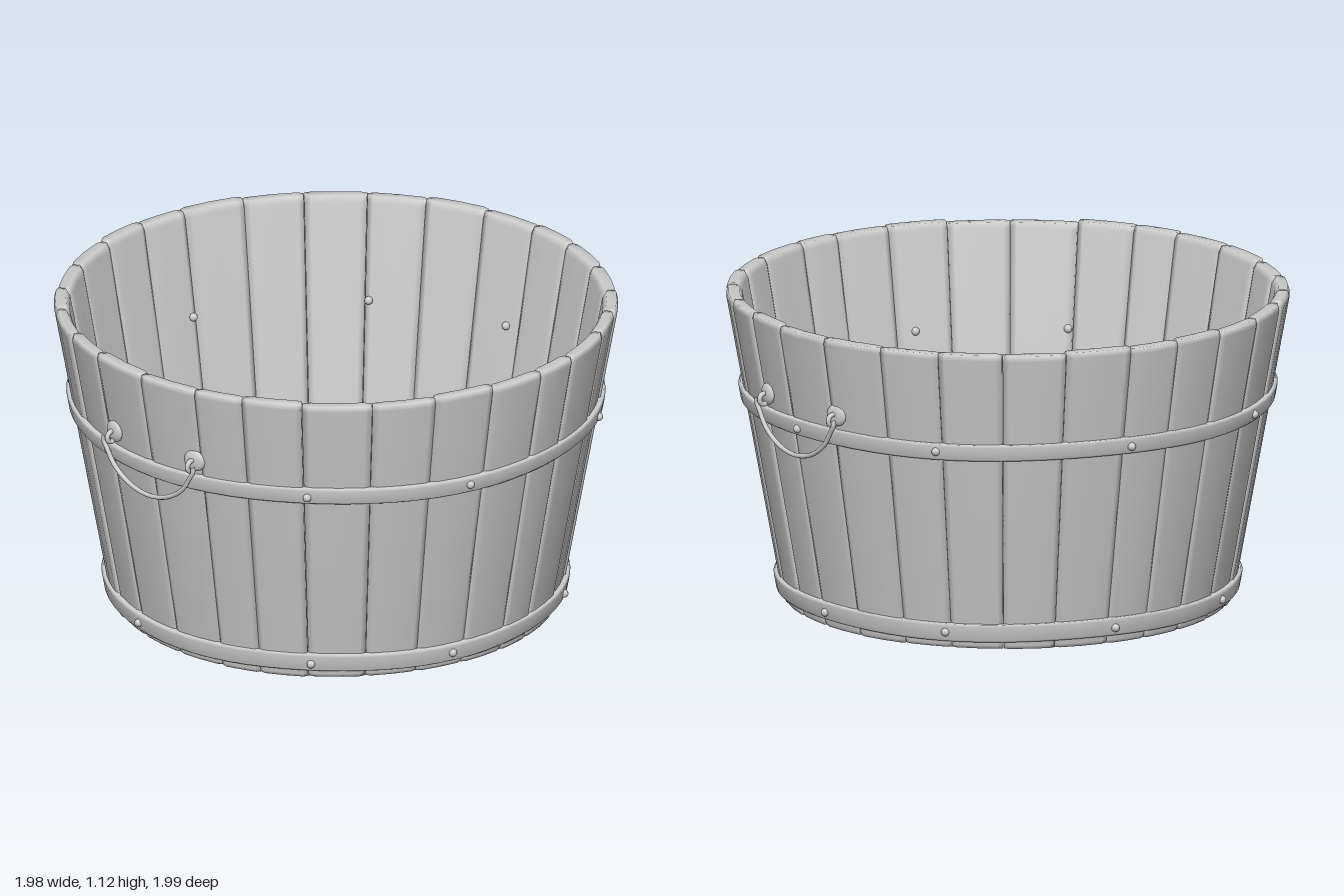
import * as THREE from 'three';

const steel = new THREE.MeshStandardMaterial({ color: 0xcccccc });
steel.name = 'pale grey';

let seed = 7;
const rand = () => (seed = (seed * 16807) % 2147483647) / 2147483647;
const rad = THREE.MathUtils.degToRad;

// outer wall radius at a given height
const wallR = (y) => 0.79 + 0.205 * (y / 1.13);

function add(parent, name, geometry) {
  const mesh = new THREE.Mesh(geometry, steel);
  mesh.name = name;
  parent.add(mesh);
  return mesh;
}

// one stave: a soft-edged board lofted from bottom to top between two angles
function staveGeometry(t0, t1, thick, offset, top) {
  const rows = [[0.01, 0.007], [0.024, 0], [0.55, 0], [top - 0.02, 0], [top, 0.009]];
  const cuts = [0, 0.1, 0.5, 0.9, 1];
  const n = cuts.length * 2;
  const pos = [];
  const idx = [];
  for (const [y, inset] of rows) {
    const ring = (u, r) => {
      const t = t0 + (t1 - t0) * u;
      pos.push(Math.sin(t) * r, y, Math.cos(t) * r);
    };
    const edge = (u) => (u === 0 || u === 1 ? 0.008 : 0);
    const R = wallR(y) + offset;
    cuts.forEach((u) => ring(u, R - inset - edge(u)));
    [...cuts].reverse().forEach((u) => ring(u, R - thick + inset + edge(u)));
  }
  const quad = (a, b, c, d) => idx.push(a, b, c, a, c, d);
  for (let j = 0; j < rows.length - 1; j++) {
    for (let i = 0; i < n; i++) {
      const k = (i + 1) % n;
      quad(j * n + i, j * n + k, (j + 1) * n + k, (j + 1) * n + i);
    }
  }
  const last = (rows.length - 1) * n;
  for (let i = 0; i < cuts.length - 1; i++) {
    quad(last + i, last + i + 1, last + n - 2 - i, last + n - 1 - i);
    quad(n - 1 - i, n - 2 - i, i + 1, i);
  }
  const g = new THREE.BufferGeometry();
  g.setAttribute('position', new THREE.Float32BufferAttribute(pos, 3));
  g.setIndex(idx);
  g.computeVertexNormals();
  return g;
}

// metal band following the slope of the wall
function hoopGeometry(y0, y1) {
  const p = (y, out) => new THREE.Vector2(wallR(y) + out, y);
  const g = new THREE.LatheGeometry([
    p(y0, -0.01), p(y0, 0.012), p(y0 + 0.008, 0.019), p(y1 - 0.008, 0.019),
    p(y1, 0.012), p(y1, -0.01),
  ], 72);
  // slight hand-made waviness
  const a = g.attributes.position;
  for (let i = 0; i < a.count; i++) {
    const t = Math.atan2(a.getX(i), a.getZ(i));
    a.setY(i, a.getY(i) + 0.003 * Math.sin(5 * t));
  }
  return g;
}

// floor board clipped to the round floor
function plankGeometry(x0, x1, R) {
  const pts = [];
  const steps = 8;
  for (let i = 0; i <= steps; i++) {
    const x = x0 + ((x1 - x0) * i) / steps;
    pts.push(new THREE.Vector2(x, -Math.sqrt(Math.max(0, R * R - x * x))));
  }
  for (let i = steps; i >= 0; i--) pts.push(new THREE.Vector2(pts[i].x, -pts[i].y + 0.0001));
  const g = new THREE.ExtrudeGeometry(new THREE.Shape(pts), {
    depth: 0.028, bevelThickness: 0.006, bevelSize: 0.008, bevelOffset: -0.008, bevelSegments: 2,
  });
  g.rotateX(-Math.PI / 2);
  g.translate(0, 0.056, 0);
  return g;
}

export function createModel() {
  const model = new THREE.Group();
  model.name = 'woodenTub';

  // staves, of slightly uneven width
  const staves = new THREE.Group();
  staves.name = 'staves';
  model.add(staves);
  const count = 28;
  const widths = Array.from({ length: count }, () => 0.8 + 0.4 * rand());
  const total = widths.reduce((s, w) => s + w, 0);
  let t = rad(1);
  widths.forEach((w) => {
    const span = (w / total) * Math.PI * 2;
    add(staves, 'stave', staveGeometry(t + 0.001, t + span - 0.001,
      0.052 + 0.008 * rand(), (rand() - 0.5) * 0.01, 1.122 + 0.01 * rand()));
    t += span;
  });

  // floor boards and the rim around them
  const floor = new THREE.Group();
  floor.name = 'floor';
  model.add(floor);
  const seams = [-0.742, -0.58, -0.4, -0.24, 0, 0.23, 0.38, 0.6, 0.742];
  for (let i = 0; i < seams.length - 1; i++) {
    add(floor, 'floorPlank', plankGeometry(seams[i], seams[i + 1], 0.745));
  }
  const rim = add(floor, 'floorRim', new THREE.TorusGeometry(0.742, 0.012, 8, 64));
  rim.rotation.x = Math.PI / 2;
  rim.position.y = 0.092;

  // hoops with rivets
  const rivetAngles = [-104, -152, 169, 126, 90, 31.5, -16.3, -52.5];
  for (const [name, y0, y1, through] of [
    ['lowerHoop', 0.04, 0.106, false], ['upperHoop', 0.73, 0.79, true],
  ]) {
    add(model, name, hoopGeometry(y0, y1));
    const y = (y0 + y1) / 2;
    for (const deg of rivetAngles) {
      const a = rad(deg);
      const place = (r) => {
        const m = add(model, 'rivet', new THREE.SphereGeometry(0.015, 12, 8));
        m.position.set(Math.sin(a) * r, y, Math.cos(a) * r);
      };
      place(wallR(y) + 0.02);
      if (through) place(wallR(y) - 0.06);
    }
  }

  // swinging wire handle on each side
  for (const side of [1, -1]) {
    const handle = new THREE.Group();
    handle.name = side > 0 ? 'leftHandle' : 'rightHandle';
    if (side < 0) handle.rotation.y = Math.PI;
    model.add(handle);
    for (const z of [0.195, -0.195]) {
      const plate = add(handle, 'handleMount', new THREE.SphereGeometry(0.043, 16, 12));
      plate.scale.set(0.35, 0.9, 1);
      plate.position.set(0.926, 0.845, z);
      plate.rotation.y = z > 0 ? -0.2 : 0.2;
      const eye = add(handle, 'handleEye', new THREE.TorusGeometry(0.02, 0.009, 8, 16));
      eye.position.set(0.943, 0.83, z);
    }
    const path = new THREE.CatmullRomCurve3([
      [0.835, 0.215], [0.815, 0.218], [0.795, 0.205], [0.735, 0.165], [0.685, 0.09], [0.667, 0],
      [0.685, -0.09], [0.735, -0.165], [0.795, -0.205], [0.815, -0.218], [0.835, -0.215],
    ].map(([y, z]) => new THREE.Vector3(0.958, y, z)));
    add(handle, 'handleWire', new THREE.TubeGeometry(path, 48, 0.0085, 8));
  }
  return model;
}
